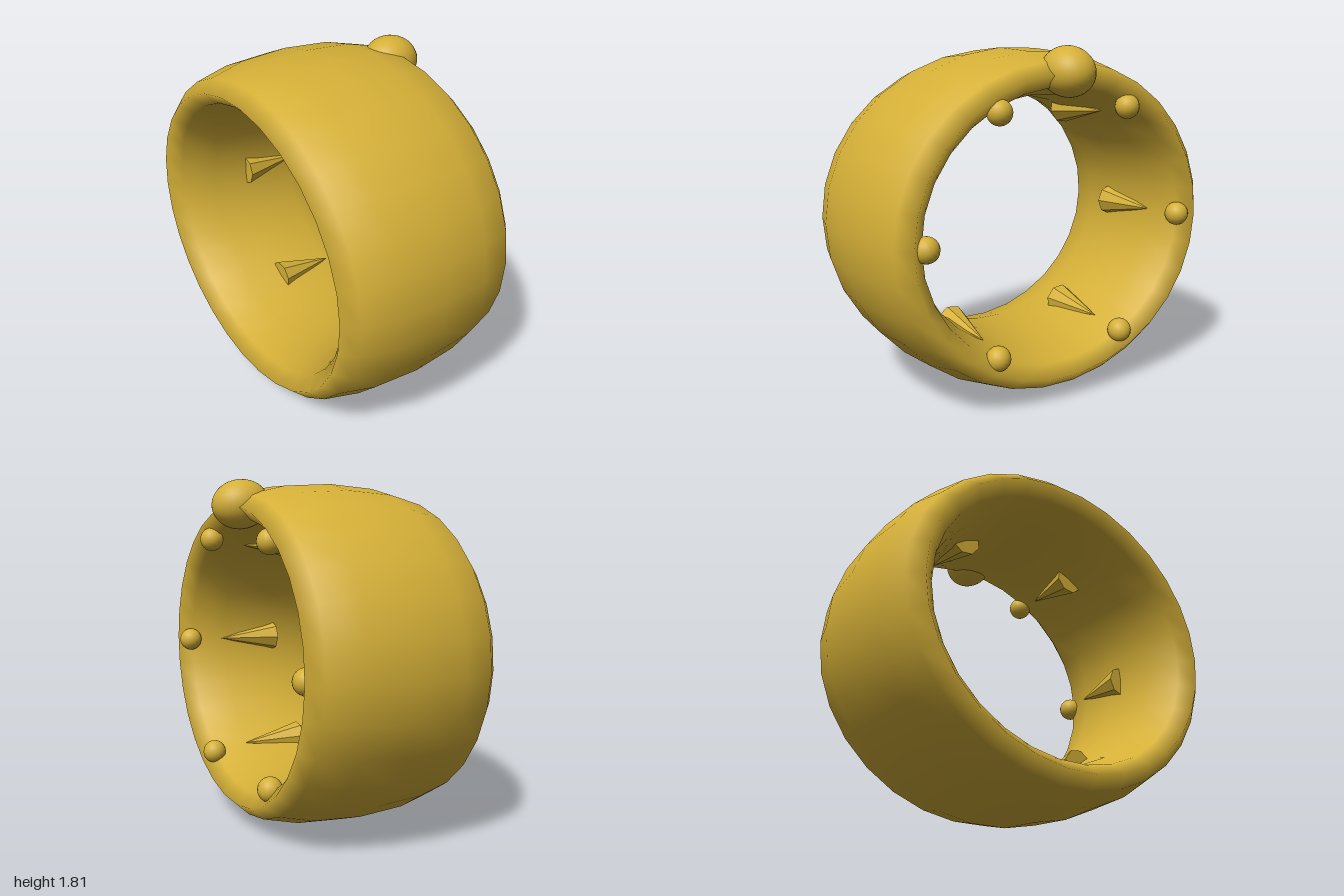
import * as THREE from 'three';

const gold = new THREE.MeshStandardMaterial({ color: 0xd4af37 });
gold.name = 'gold';

const CENTRE_Y = 0.9, CENTRE_Z = 0.04, OVAL = 0.9;

function addPart(group, name, geometry, x, y, z) {
  const mesh = new THREE.Mesh(geometry, gold);
  mesh.name = name;
  mesh.position.set(x, y, z);
  group.add(mesh);
  return mesh;
}

export function createModel() {
  const group = new THREE.Group();
  group.name = 'ring';

  // Wide oval band: a torus stretched along its axis
  const bandGeometry = new THREE.TorusGeometry(0.86, 0.14, 12, 30);
  bandGeometry.rotateZ(0.02);
  bandGeometry.scale(1, OVAL, 0.51 / 0.14);
  bandGeometry.computeVertexNormals();
  // Use the exact normals of the stretched tube so the seams stay smooth
  const p = bandGeometry.attributes.position, n = bandGeometry.attributes.normal;
  const v = new THREE.Vector3();
  for (let i = 0; i < p.count; i++) {
    const x = p.getX(i), y = p.getY(i) / OVAL, z = p.getZ(i);
    const r = Math.hypot(x, y), k = (r - 0.86) / (0.14 * 0.14);
    v.set(k * x / r, k * y / r / OVAL, z / (0.51 * 0.51)).normalize();
    n.setXYZ(i, v.x, v.y, v.z);
  }
  const band = addPart(group, 'band', bandGeometry, 0, CENTRE_Y, CENTRE_Z);
  band.rotation.x = 0.006;

  // Large bead on top of the back rim
  const largeBead = new THREE.SphereGeometry(1, 32, 20).scale(0.13, 0.125, 0.15);
  addPart(group, 'largeBead', largeBead, -0.02, 1.685, -0.41).rotation.x = -0.15;

  // Six small beads on the back rim and six spikes lying inside the band
  const beadGeometry = new THREE.SphereGeometry(0.064, 18, 12);
  const spikeGeometry = new THREE.ConeGeometry(0.088, 0.34, 8).rotateX(-Math.PI / 2).toNonIndexed();
  spikeGeometry.computeVertexNormals();
  for (let i = 0; i < 6; i++) {
    const a = i * Math.PI / 3 + 0.01;
    const c = Math.cos(a), s = Math.sin(a) * OVAL;
    addPart(group, 'smallBead', beadGeometry, c * 0.775, CENTRE_Y + s * 0.775, -0.42);
    addPart(group, 'innerSpike', spikeGeometry, c * 0.73, CENTRE_Y + s * 0.73, -0.07).rotation.z = a;
  }
  return group;
}
